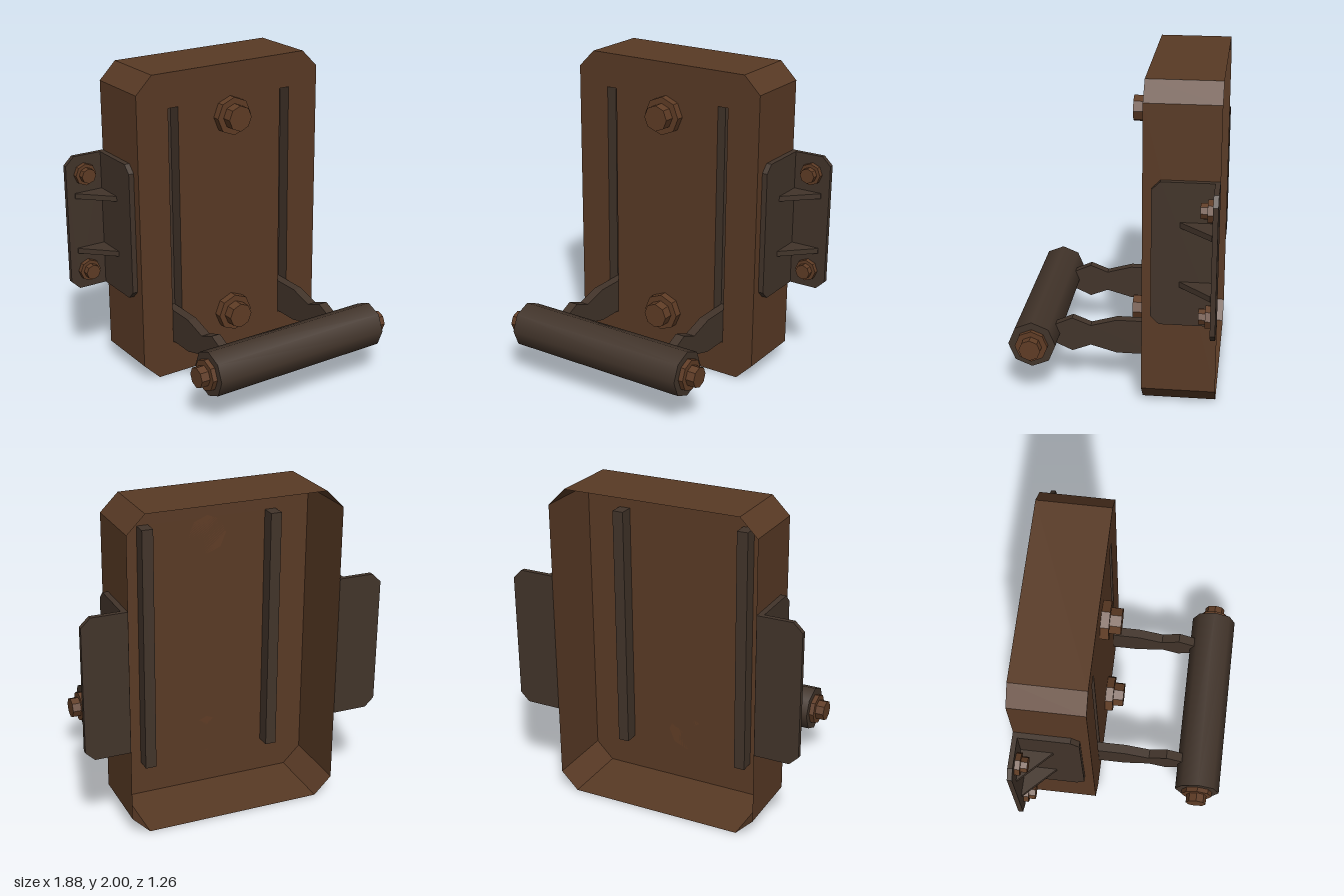
import * as THREE from 'three';
import { mergeGeometries } from 'three/addons/utils/BufferGeometryUtils.js';

const material = (name, color, extra = {}) => {
  const m = new THREE.MeshStandardMaterial({ color, ...extra });
  m.name = name;
  return m;
};

const toShape = (pts) => new THREE.Shape(pts.map(([x, y]) => new THREE.Vector2(x, y)));
const rect = (x0, x1, y0, y1) => [[x0, y0], [x1, y0], [x1, y1], [x0, y1]];

// Extruded plate, centred through its thickness
function plate(pts, thickness) {
  const g = new THREE.ExtrudeGeometry(toShape(pts), { depth: thickness, bevelEnabled: false });
  return g.translate(0, 0, -thickness / 2);
}

// Open band of flat walls following a counter-clockwise outline
function walls(pts, zBack, zFront) {
  const v = [];
  pts.forEach(([ax, ay], i) => {
    const [bx, by] = pts[(i + 1) % pts.length];
    v.push(ax, ay, zBack, bx, by, zBack, bx, by, zFront);
    v.push(ax, ay, zBack, bx, by, zFront, ax, ay, zFront);
  });
  const g = new THREE.BufferGeometry();
  g.setAttribute('position', new THREE.Float32BufferAttribute(v, 3));
  g.computeVertexNormals();
  return g;
}

export function createModel() {
  const model = new THREE.Group();
  model.name = 'wallMountedRollerBracket';

  const rust = material('rusty brown', 0x593a25, { side: THREE.DoubleSide });
  const iron = material('dark iron', 0x42342a);
  const ironSheet = material('dark iron sheet', 0x42342a, { side: THREE.DoubleSide });
  const boltMetal = material('bolt brown', 0x5f3c25, { flatShading: true });

  const add = (name, geometry, mat, parent = model) => {
    const mesh = new THREE.Mesh(geometry, mat);
    mesh.name = name;
    parent.add(mesh);
    return mesh;
  };

  // Eight-sided washer and head, pointing along +z from its origin
  const bolt = (name, washerR, washerT, headR, headT) => {
    const washer = new THREE.CylinderGeometry(washerR, washerR, washerT, 8).translate(0, washerT / 2, 0);
    const head = new THREE.CylinderGeometry(headR, headR, headT, 8).translate(0, washerT + headT / 2, 0);
    return add(name, mergeGeometries([washer, head]).rotateX(Math.PI / 2), boltMetal);
  };

  const BACK = -0.63, FRONT = -0.185;
  const W = 0.665, C = 0.11;

  // Housing: chamfered tray, open at the back, with two slots in its face
  const outline = [[-W + C, 0], [W - C, 0], [W, C], [W, 2 - C], [W - C, 2], [-W + C, 2], [-W, 2 - C], [-W, C]];
  const face = toShape(outline);
  const slots = [-1, 1].map((s) => rect(s * 0.412 - 0.035, s * 0.412 + 0.035, 0.22, 1.78));
  slots.forEach((p) => face.holes.push(toShape(p)));
  add('housingWalls', walls(outline, BACK, FRONT), rust);
  add('housingFace', new THREE.ShapeGeometry(face).translate(0, 0, FRONT), rust);

  // Recessed channels behind the slots
  slots.forEach((p) => {
    add('channelWalls', walls(p, FRONT - 0.09, FRONT), ironSheet);
    add('channelFloor', new THREE.ShapeGeometry(toShape(p)).translate(0, 0, FRONT - 0.09), ironSheet);
  });

  // Large bolts on the face
  [1.67, 0.335].forEach((y) => bolt('faceBolt', 0.122, 0.05, 0.082, 0.067).position.set(0, y, FRONT));

  // Roller
  const roller = new THREE.CylinderGeometry(0.145, 0.145, 1.22, 8).rotateX(Math.PI / 2).rotateY(Math.PI / 2);
  add('roller', roller, iron).position.set(0, 0.335, 0.488);

  // Waisted arm profile as z, y
  const armProfile = [
    [-0.27, 0.225], [-0.01, 0.225], [0.15, 0.27], [0.265, 0.225], [0.375, 0.275],
    [0.375, 0.395], [0.265, 0.445], [0.15, 0.4], [-0.01, 0.445], [-0.27, 0.445],
  ];
  // Side flange profile as z, y
  const flangeProfile = [
    [BACK, 0.56], [-0.29, 0.56], [-0.24, 0.61], [-0.24, 1.395], [-0.29, 1.445], [BACK, 1.445],
  ];

  for (const s of [-1, 1]) {
    const arm = plate(armProfile, 0.06).rotateY(-Math.PI / 2);
    add('rollerArm', arm, iron).position.x = s * 0.412;

    const endBolt = bolt('rollerBolt', 0.1, 0.03, 0.066, 0.055);
    endBolt.position.set(s * 0.61, 0.335, 0.488);
    endBolt.rotation.y = s * Math.PI / 2;

    // Angle bracket: flange on the housing, wall plate, gussets and bolts
    const bracket = new THREE.Group();
    bracket.name = s > 0 ? 'leftBracket' : 'rightBracket';
    model.add(bracket);

    const flange = plate(flangeProfile, 0.034).rotateY(-Math.PI / 2);
    add('flange', flange, iron, bracket).position.x = s * 0.683;

    const wallPlate = [
      [0.69, 0.56], [0.885, 0.56], [0.942, 0.615], [0.942, 1.39], [0.885, 1.445], [0.69, 1.445],
    ].map(([x, y]) => [s * x, y]);
    add('wallPlate', plate(wallPlate, 0.03), iron, bracket).position.z = BACK + 0.015;

    for (const y of [1.188, 0.82]) {
      const gusset = [[0.69, -0.605], [0.888, -0.605], [0.888, -0.595], [0.7, -0.405], [0.69, -0.405]]
        .map(([x, z]) => [s * x, z]);
      add('gusset', plate(gusset, 0.034).rotateX(Math.PI / 2), iron, bracket).position.y = y;
    }
    for (const y of [1.325, 0.68]) {
      const b = bolt('bracketBolt', 0.07, 0.032, 0.048, 0.04);
      b.position.set(s * 0.82, y, BACK + 0.03);
      bracket.add(b);
    }
  }

  return model;
}
